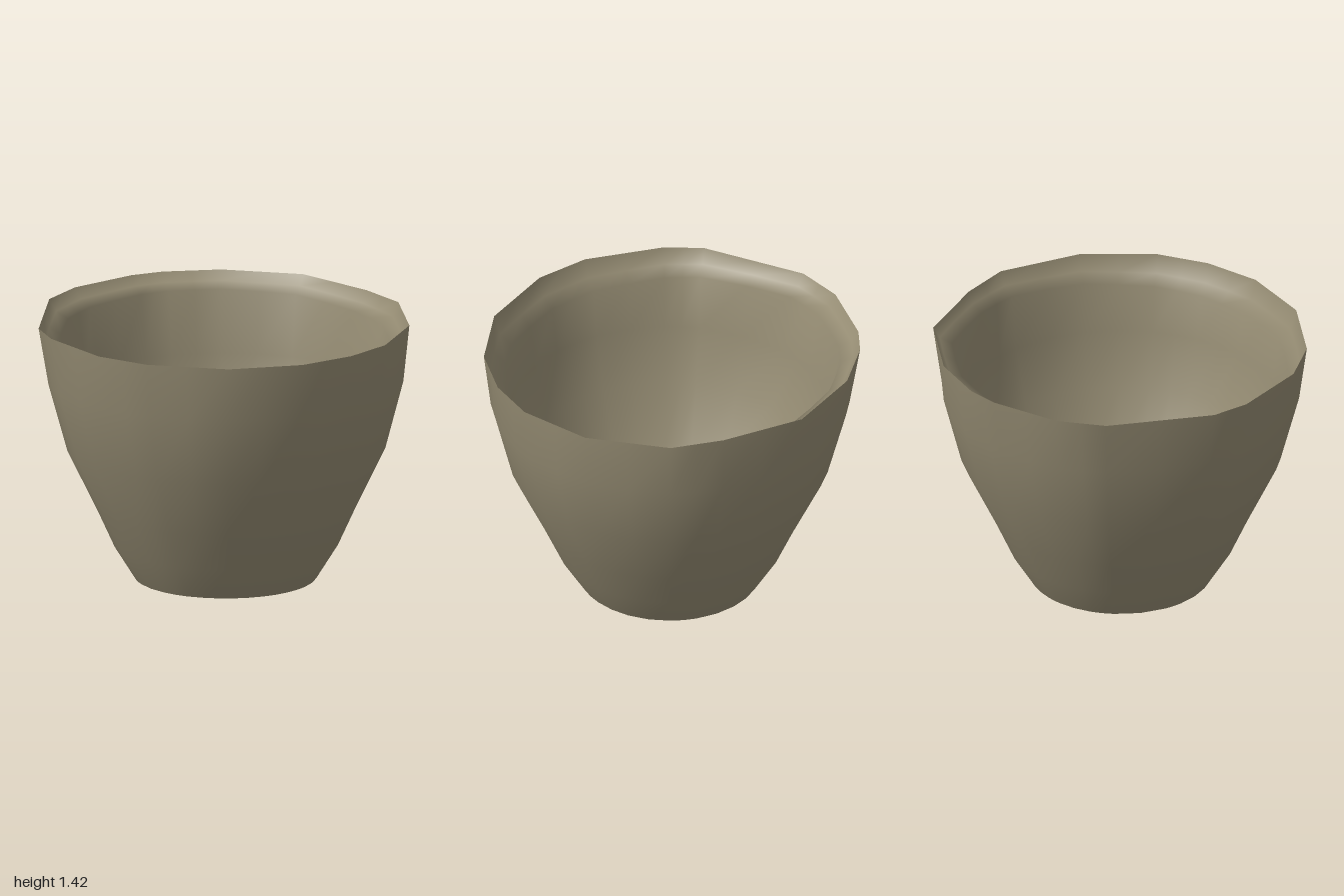
import * as THREE from 'three';

// Uneven rim outline (x, z), running clockwise seen from above
const RIM = [[-.07, -1], [.37, -.93], [.72, -.63], [.9, -.4], [.98, .06], [.87, .46], [.7, .69], [.45, .88], [.06, .99],
  [-.38, .92], [-.64, .77], [-.91, .43], [-.985, .23], [-.955, -.36], [-.83, -.6], [-.54, -.86], [-.38, -.94]];

// Add the midpoint of every side so lower rings can be rounder
const OUTLINE = RIM.flatMap((p, i) => {
  const q = RIM[(i + 1) % RIM.length];
  return [p, [(p[0] + q[0]) / 2, (p[1] + q[1]) / 2]];
});

// Loft rings of [y, radius, roundness, tilt] into a smooth open shell
function shell(rings) {
  const n = OUTLINE.length, pos = [], idx = [];
  rings.forEach(([y, r, round, tilt], k) => {
    OUTLINE.forEach(([x, z], i) => {
      const s = r * ((1 - round) + round / Math.hypot(x, z));
      pos.push(x * s, y - tilt * (x * 0.25 + z), z * s);
      if (k < rings.length - 1) {
        const a = k * n + i, b = k * n + (i + 1) % n;
        idx.push(a, a + n, b, b, a + n, b + n);
      }
    });
  });
  const g = new THREE.BufferGeometry();
  g.setAttribute('position', new THREE.Float32BufferAttribute(pos, 3));
  g.setIndex(idx);
  g.computeVertexNormals();
  return g;
}

// Flat disc following the outline, with triangular drain slits
function plate(radius, slits) {
  const pt = ([x, z]) => new THREE.Vector2(x, -z);
  const shape = new THREE.Shape(OUTLINE.map(([x, z]) => {
    const s = radius / Math.hypot(x, z);
    return pt([x * s, z * s]);
  }));
  slits.forEach(s => shape.holes.push(new THREE.Path(s.map(pt))));
  return new THREE.ShapeGeometry(shape).rotateX(-Math.PI / 2);
}

export function createModel() {
  const clay = new THREE.MeshStandardMaterial({ color: 0x948b72, side: THREE.DoubleSide });
  clay.name = 'olive clay';
  const pot = new THREE.Group();
  pot.name = 'plantPot';
  const add = (name, geometry, y = 0) => {
    const m = new THREE.Mesh(geometry, clay);
    m.name = name;
    m.position.y = y;
    pot.add(m);
    return m;
  };

  // Tapering outer wall
  add('outerWall', shell([
    [0.005, .485, 1, 0], [.19, .6, 1, 0], [.4, .695, 1, 0], [.73, .855, .9, 0],
    [1.1, .955, .7, 0], [1.41, 1, 0, .012],
  ]));

  // Thin lip, small ledge and inner wall
  add('innerWall', shell([
    [1.41, 1, 0, .012], [1.33, .965, .2, .04], [1.29, .9, .3, .05], [1.0, .86, .8, 0],
    [.7, .78, 1, 0], [.4, .655, 1, 0], [.2, .54, 1, 0], [.12, .44, 1, 0],
  ]));

  // Floor and underside with drain slits
  const slits = [
    [[-.28, -.36], [-.28, -.2], [-.24, -.17]],
    [[.17, -.42], [.19, -.13], [.24, -.15]],
    [[-.05, .21], [-.08, .28], [-.04, .26]],
  ];
  add('innerFloor', plate(.44, slits), .12);
  const base = plate(.485, [slits[2]]);
  base.index.array.reverse();
  base.computeVertexNormals();
  add('underside', base, .005);
  return pot;
}
